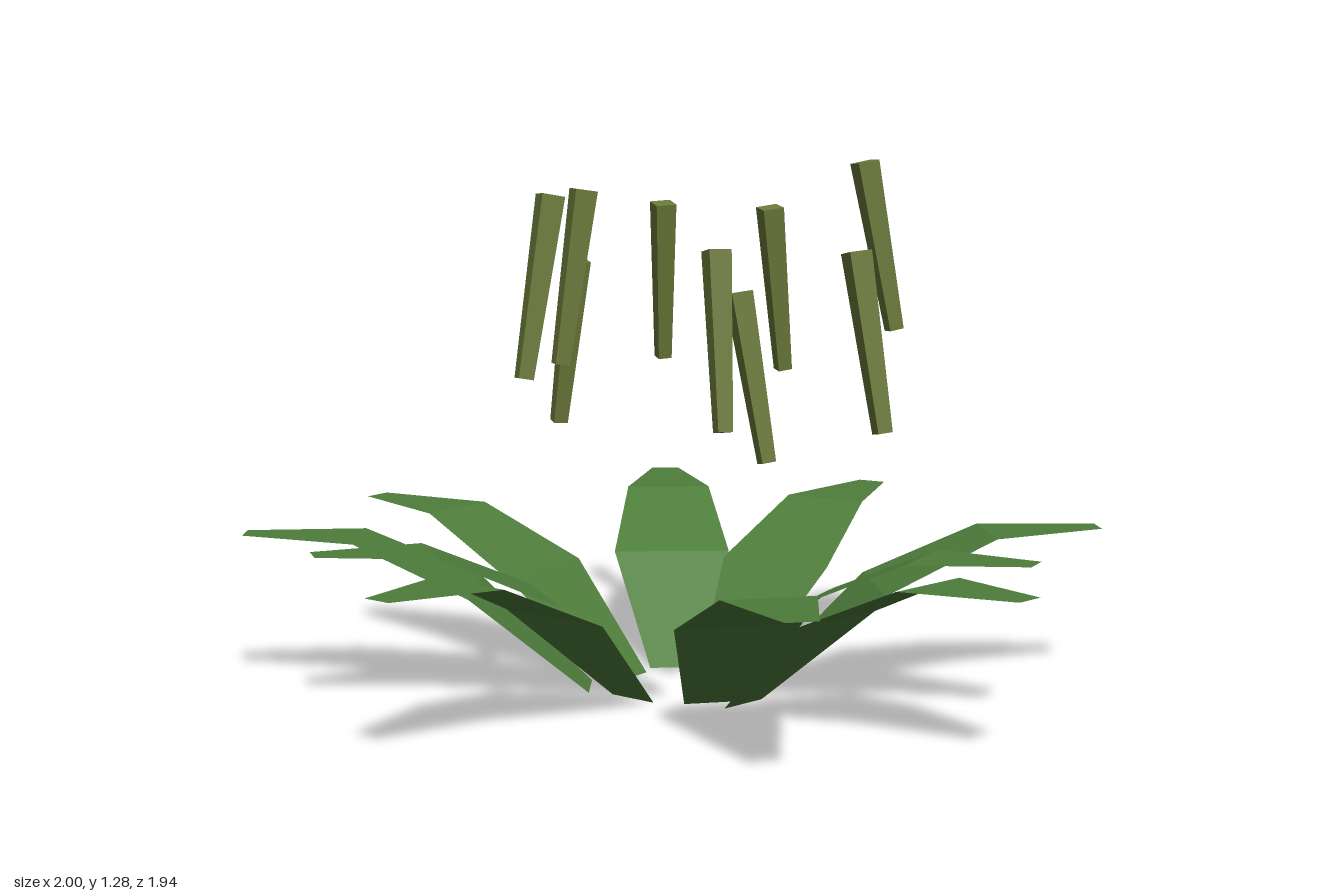
import * as THREE from 'three';

// Leaf cross-sections from base to tip: [distance outward, height, half width]
const SECTIONS = [[0, 0, 0.064], [0.28, 0.245, 0.149], [0.56, 0.37, 0.109], [0.84, 0.377, 0.037]];

// Leaves: base x, z and tip x, z
const LEAVES = [
  [0.04, -0.135, 0.11, -0.975],
  [0.04, -0.032, 0.88, -0.032],
  [-0.11, -0.19, -0.50, -0.933],
  [0.156, -0.118, 0.866, -0.567],
  [-0.165, -0.05, -0.995, -0.2],
  [-0.213, 0.076, -0.981, 0.417],
  [-0.056, 0.016, -0.674, 0.583],
  [-0.065, 0.139, -0.265, 0.955],
  [0.12, 0.096, 0.631, 0.754],
  [0.195, 0.073, 0.989, 0.35],
];

// Stalks: top x, y, z and bottom x, y, z
const STALKS = [
  [0.36, 1.275, -0.26, 0.425, 0.87, -0.30],
  [0.50, 1.09, 0.14, 0.575, 0.685, 0.16],
  [0.20, 1.09, 0.24, 0.245, 0.685, 0.30],
  [0.08, 1.155, -0.335, 0.085, 0.745, -0.41],
  [0.12, 0.968, -0.06, 0.195, 0.562, -0.06],
  [-0.13, 1.215, 0.415, -0.16, 0.806, 0.49],
  [-0.18, 1.215, 0.16, -0.22, 0.806, 0.205],
  [-0.27, 1.152, -0.45, -0.305, 0.745, -0.52],
  [-0.325, 1.03, -0.08, -0.39, 0.622, -0.10],
];

// Arching strip of three flat facets, growing along +z
function leafGeometry() {
  const strip = new THREE.PlaneGeometry(2, 1, 1, SECTIONS.length - 1).rotateX(-Math.PI / 2);
  const pos = strip.attributes.position;
  for (let i = 0; i < pos.count; i++) {
    const [out, height, half] = SECTIONS[Math.floor(i / 2)];
    pos.setXYZ(i, pos.getX(i) * half, height, out);
  }
  const faceted = strip.toNonIndexed();
  faceted.computeVertexNormals();
  return faceted;
}

export function createModel() {
  const model = new THREE.Group();
  model.name = 'plant';
  const leafGreen = new THREE.MeshStandardMaterial({ name: 'leafGreen', color: 0x4e7d3b, side: THREE.DoubleSide });
  const stalkOlive = new THREE.MeshStandardMaterial({ name: 'stalkOlive', color: 0x6b7a3a, flatShading: true });

  // Rosette of leaves
  const leafShape = leafGeometry();
  LEAVES.forEach(([bx, bz, tx, tz], i) => {
    const leaf = new THREE.Mesh(leafShape, leafGreen);
    leaf.name = `leaf${i + 1}`;
    leaf.position.set(bx, 0, bz);
    leaf.rotation.y = Math.atan2(tx - bx, tz - bz);
    model.add(leaf);
  });

  // Square tapered stalks, leaning inward toward the top
  const up = new THREE.Vector3(0, 1, 0);
  STALKS.forEach(([tx, ty, tz, bx, by, bz], i) => {
    const top = new THREE.Vector3(tx, ty, tz);
    const bottom = new THREE.Vector3(bx, by, bz);
    const axis = top.clone().sub(bottom);
    const stalk = new THREE.Mesh(new THREE.CylinderGeometry(0.038, 0.025, axis.length(), 4), stalkOlive);
    stalk.name = `stalk${i + 1}`;
    stalk.position.copy(top).add(bottom).multiplyScalar(0.5);
    stalk.quaternion.setFromUnitVectors(up, axis.normalize());
    model.add(stalk);
  });

  return model;
}
